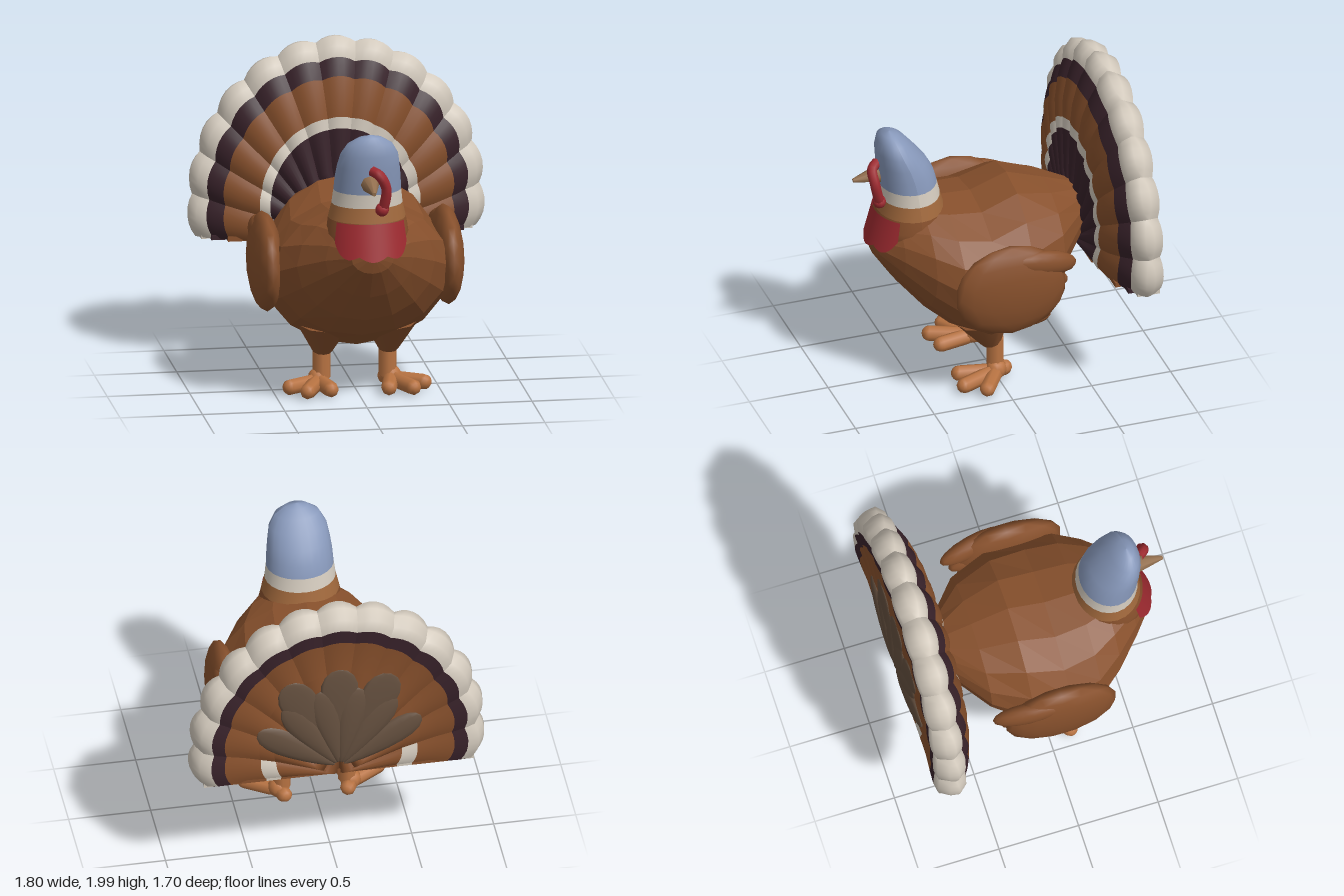
import * as THREE from 'three';

const mat = (name, color) => Object.assign(new THREE.MeshStandardMaterial({ color }), { name });

export function createModel() {
  const brown = mat('featherBrown', 0x87502c), dark = mat('darkBand', 0x38222a), cream = mat('cream', 0xd3cabd);
  const blue = mat('headBlue', 0x8798ba), red = mat('wattleRed', 0x9e2a30), light = mat('lightBrown', 0xa0683c);
  const grey = mat('backFeather', 0x65503f), orange = mat('legOrange', 0xb87342), horn = mat('beakHorn', 0x94704f);
  const redSheet = mat('wattleSheetRed', 0x9e2a30);
  redSheet.side = THREE.DoubleSide;

  const model = new THREE.Group();
  const add = (name, geo, m, parent = model) => {
    const mesh = new THREE.Mesh(geo, m);
    mesh.name = name;
    parent.add(mesh);
    return mesh;
  };

  // Surface grid from fn(u, v); faces point along dv x du
  const grid = (nu, nv, fn, flat = false) => {
    const pos = [], idx = [];
    for (let i = 0; i <= nu; i++) for (let j = 0; j <= nv; j++) pos.push(...fn(i / nu, j));
    for (let i = 0; i < nu; i++) for (let j = 0; j < nv; j++) {
      const a = i * (nv + 1) + j, b = a + nv + 1;
      idx.push(a, a + 1, b, b, a + 1, b + 1);
    }
    let g = new THREE.BufferGeometry();
    g.setAttribute('position', new THREE.Float32BufferAttribute(pos, 3));
    g.setIndex(idx);
    if (flat) g = g.toNonIndexed();
    g.computeVertexNormals();
    return g;
  };

  // Body: ellipses along z as [z, centre y, half width, half height]
  const body = [[-0.56, 0.97, 0.02, 0.02], [-0.55, 0.97, 0.19, 0.18], [-0.36, 0.91, 0.42, 0.31], [-0.13, 0.8, 0.53, 0.5],
    [0.1, 0.76, 0.57, 0.46], [0.3, 0.82, 0.53, 0.41], [0.45, 0.89, 0.42, 0.35], [0.6, 0.96, 0.27, 0.24], [0.72, 1, 0.13, 0.1], [0.75, 1.01, 0, 0]];
  add('body', grid(16, body.length - 1, (u, j) => {
    const [z, y, rx, ry] = body[j], a = -u * Math.PI * 2;
    return [rx * Math.cos(a), y + ry * Math.sin(a), z];
  }, true), brown);

  // Neck and head: ellipses along y as [y, centre z, half width, half depth]
  const column = (name, m, rings) => add(name, grid(24, rings.length - 1, (u, j) => {
    const [y, z, rx, rz] = rings[j], a = u * Math.PI * 2;
    return [rx * Math.cos(a), y, z + rz * Math.sin(a)];
  }), m);
  column('neck', brown, [[0.92, 0.5, 0.16, 0.18], [1.04, 0.495, 0.25, 0.235], [1.12, 0.49, 0.25, 0.225], [1.2, 0.485, 0.235, 0.205]]);
  column('neckBand', light, [[1.2, 0.485, 0.235, 0.205], [1.29, 0.49, 0.215, 0.185]]);
  column('collar', cream, [[1.29, 0.49, 0.215, 0.185], [1.375, 0.5, 0.205, 0.175]]);
  column('head', blue, [[1.375, 0.5, 0.205, 0.175], [1.45, 0.515, 0.2, 0.17], [1.53, 0.54, 0.19, 0.15],
    [1.61, 0.575, 0.175, 0.12], [1.68, 0.6, 0.135, 0.085], [1.72, 0.612, 0.07, 0.045], [1.735, 0.615, 0, 0]]);

  // Wattle sheet with rounded lobes along its lower edge
  add('wattle', grid(30, 4, (u, j) => {
    const s = 2 * u - 1, a = Math.PI / 2 - s * 0.95;
    const low = 1.01 - 0.03 * Math.abs(Math.cos(u * Math.PI * 3 + Math.PI / 2)) + 0.07 * s ** 4;
    const y = low + (1.2 - low) * (1 - j / 4), k = (1.2 - y) / 0.2;
    return [(0.25 + 0.03 * k) * Math.cos(a), y, 0.485 + (0.22 + 0.055 * k) * Math.sin(a)];
  }), redSheet);

  // Snood and beak
  const snood = new THREE.CatmullRomCurve3([[0, 1.53, 0.69], [0.04, 1.51, 0.735], [0.08, 1.43, 0.73], [0.075, 1.34, 0.71], [0.06, 1.28, 0.69]]
    .map(p => new THREE.Vector3(...p)));
  add('snood', new THREE.TubeGeometry(snood, 16, 0.032, 8), red);
  add('snoodTip', new THREE.SphereGeometry(0.042, 10, 8), red).position.set(0.06, 1.29, 0.695);
  const beak = add('beak', new THREE.CylinderGeometry(0.012, 0.06, 0.18, 8), horn);
  beak.rotation.x = Math.PI / 2 + 0.12;
  beak.position.set(-0.01, 1.435, 0.75);

  // Tail fan: each feather sweeps a radial profile and every ring ends on a level lower edge
  const FEATHERS = 13, BASE = 0.22;
  const tailBand = (name, m, profile, only = () => true) => {
    const band = new THREE.Group();
    band.name = name;
    model.add(band);
    for (let f = 0; f < FEATHERS; f++) {
      if (!only(f)) continue;
      add('feather', grid(6, profile.length - 1, (u, j) => {
        const [r, z] = profile[j], s = 2 * u - 1;
        const a0 = -Math.asin(Math.min(1, BASE / Math.max(r, 0.001)));
        const a = a0 + (Math.PI - 2 * a0) * (f + u) / FEATHERS;
        const rr = r * (1 - 0.035 * r * s * s), pinch = (z > -0.75 ? -0.02 : 0.015) * s * s;
        return [0.905 * rr * Math.cos(a), 1 + rr * Math.sin(a), z + pinch];
      }), m, band);
    }
  };
  tailBand('innerFan', dark, [[0, -0.53], [0.22, -0.53], [0.47, -0.54]]);
  tailBand('innerTips', cream, [[0.47, -0.54], [0.54, -0.545]]);
  tailBand('mainFan', brown, [[0.54, -0.545], [0.66, -0.56], [0.78, -0.595]]);
  tailBand('darkFanBand', dark, [[0.78, -0.595], [0.84, -0.62], [0.885, -0.645]]);
  tailBand('outerTips', cream, [[0.885, -0.645], [0.95, -0.66], [1, -0.71], [0.99, -0.77], [0.945, -0.835], [0.87, -0.845]]);
  tailBand('backDarkBand', dark, [[0.87, -0.845], [0.78, -0.84]]);
  tailBand('backFan', brown, [[0.78, -0.84], [0.66, -0.83], [0.54, -0.83]]);
  const end = f => f === 0 || f === FEATHERS - 1;
  tailBand('backInnerTips', cream, [[0.54, -0.83], [0.44, -0.83]], end);
  tailBand('backInnerFan', brown, [[0.54, -0.83], [0.44, -0.83]], f => !end(f));
  tailBand('backCentre', brown, [[0.44, -0.83], [0.22, -0.83], [0, -0.83]]);

  // Level underside of the fan
  const under = [[0.22, 0.45, brown, -0.55], [0.45, 0.54, cream, -0.56], [0.54, 0.78, brown, -0.59], [0.78, 0.88, dark, -0.64], [0.88, 0.94, cream, -0.68]];
  const edge = r => 0.9 * Math.sqrt(r * r - BASE * BASE);
  for (const side of [-1, 1]) for (const [r0, r1, m, z] of under) {
    const x0 = edge(r0), x1 = edge(r1);
    add('fanUnderside', new THREE.BoxGeometry(x1 - x0, 0.03, z + 0.82), m)
      .position.set(side * (x0 + x1) / 2, 0.795, (z - 0.82) / 2);
  }

  // Petal feathers on the back of the fan, in two layers, broad at the tip
  const petals = (count, spread, reach, length, width, depth) => {
    for (let i = 0; i < count; i++) {
      const a = (i / (count - 1) - 0.5) * spread;
      const g = new THREE.SphereGeometry(1, 12, 10);
      const p = g.attributes.position;
      for (let k = 0; k < p.count; k++) p.setX(k, p.getX(k) * (0.75 + 0.4 * p.getY(k)));
      g.computeVertexNormals();
      const petal = add('backPetal', g, grey);
      petal.scale.set(width, length, depth);
      petal.rotation.z = -a;
      petal.position.set(Math.sin(a) * reach, 0.84 + Math.cos(a) * reach, -0.83);
    }
  };
  petals(6, 2, 0.31, 0.28, 0.105, 0.03);
  petals(3, 0.9, 0.46, 0.27, 0.14, 0.018);

  // Wings, thighs, shins and feet on both sides
  for (const side of [-1, 1]) {
    const wing = new THREE.Group();
    wing.name = side > 0 ? 'leftWing' : 'rightWing';
    model.add(wing);
    const main = add('wingShoulder', new THREE.IcosahedronGeometry(1, 2), brown, wing);
    main.scale.set(0.1, 0.3, 0.35);
    main.position.set(side * 0.55, 0.82, 0.03);
    for (let i = 0; i < 4; i++) {
      const plume = add('wingFeather', new THREE.IcosahedronGeometry(1, 2), brown, wing);
      plume.scale.set(0.06, 0.085, 0.22);
      plume.position.set(side * (0.56 - 0.01 * i), 0.97 - i * 0.115, -0.18 + i * 0.05);
      plume.rotation.set(-0.25, side * 0.15, 0);
    }

    const leg = new THREE.Group();
    leg.name = side > 0 ? 'leftLeg' : 'rightLeg';
    leg.position.x = side * 0.2;
    model.add(leg);
    const thigh = add('thigh', new THREE.CylinderGeometry(0.18, 0.06, 0.22, 10), brown, leg);
    thigh.position.set(0, 0.36, 0.06);
    thigh.rotation.x = 0.25;
    add('shin', new THREE.CylinderGeometry(0.055, 0.055, 0.2, 8), orange, leg).position.set(0, 0.18, 0.01);
    const foot = new THREE.Group();
    foot.name = 'foot';
    foot.position.set(side * 0.02, 0.075, 0.01);
    foot.rotation.y = side * 0.4;
    leg.add(foot);
    add('ankle', new THREE.SphereGeometry(0.065, 10, 8), orange, foot);
    for (const [turn, len] of [[-0.6, 0.27], [0, 0.3], [0.6, 0.26], [Math.PI, 0.11]]) {
      const toe = add('toe', new THREE.CapsuleGeometry(0.048, len - 0.09, 4, 8).rotateX(Math.PI / 2).translate(0, 0, len / 2), orange, foot);
      toe.rotation.y = turn;
      toe.position.y = -0.017;
    }
  }
  return model;
}
